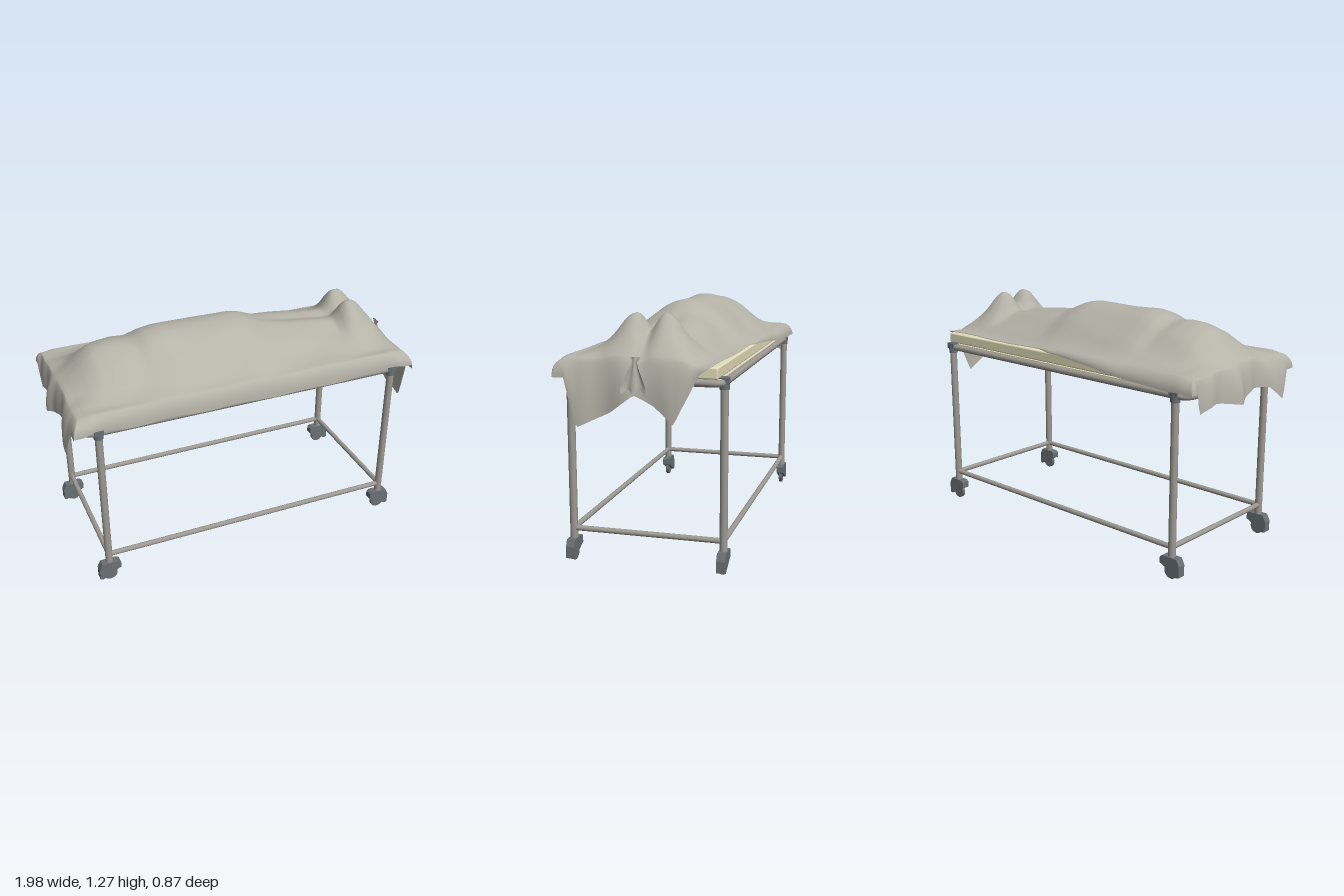
import * as THREE from 'three';
import { RoundedBoxGeometry } from 'three/addons/geometries/RoundedBoxGeometry.js';

const mat = (name, color, side = THREE.FrontSide) => {
  const m = new THREE.MeshStandardMaterial({ color, side });
  m.name = name;
  return m;
};

// Piecewise-linear lookup through [position, value] pairs
function along(pts, t) {
  if (t <= pts[0][0]) return pts[0][1];
  for (let i = 1; i < pts.length; i++) {
    const [a, va] = pts[i - 1], [b, vb] = pts[i];
    if (t <= b) return va + (vb - va) * (t - a) / (b - a);
  }
  return pts[pts.length - 1][1];
}
const bell = (d, s) => Math.exp(-(d * d) / (2 * s * s));
const { smoothstep, clamp } = THREE.MathUtils;

// Height and half-width of the covered body along its length
const RIDGE = [[-0.95, 1.055], [-0.9, 1.085], [-0.85, 1.125], [-0.8, 1.175], [-0.75, 1.215], [-0.68, 1.235],
  [-0.6, 1.24], [-0.52, 1.23], [-0.45, 1.26], [-0.38, 1.273], [-0.2, 1.268], [0.05, 1.272], [0.11, 1.26],
  [0.22, 1.215], [0.45, 1.188], [0.64, 1.165], [0.76, 1.165], [0.86, 1.12], [0.93, 1.06]];
const WIDTH = [[-0.95, 0.3], [-0.8, 0.34], [-0.65, 0.37], [-0.45, 0.41], [-0.3, 0.415], [0.1, 0.41], [0.3, 0.39], [0.6, 0.37], [0.95, 0.37]];
// Cloth edges: back edge, then the heights of the hems
const BACK_Z = [[-0.95, -0.39], [-0.4, -0.385], [0.05, -0.382], [0.12, -0.372], [0.95, -0.342]];
const BACK_DROP = [[-0.95, 0.07], [-0.8, 0.08], [-0.5, 0.062], [-0.2, 0.042], [0.05, 0.016], [0.15, 0.006], [0.95, 0.005]];
const FRONT_DROP = [[-0.95, 0.08], [-0.85, 0.075], [-0.7, 0.097], [0, 0.106], [0.6, 0.1], [0.85, 0.068], [0.95, 0.07]];
const FOOT_HEM = [[-0.342, 1.03], [-0.3, 1.0], [-0.18, 0.76], [-0.08, 0.84], [0.02, 0.89], [0.14, 0.8], [0.31, 0.72], [0.375, 0.96]];
const HEAD_HEM = [[-0.39, 0.98], [-0.365, 0.87], [-0.25, 0.905], [-0.06, 0.87], [0.08, 0.92], [0.2, 0.91], [0.31, 0.825], [0.375, 0.97]];

function clothHeight(x, z) {
  const base = 1.054 + 0.01 * smoothstep(z, -0.1, 0.35)
    - 0.016 * smoothstep(-z, 0.2, 0.34) * smoothstep(x, -0.1, 0.2)
    - 0.01 * smoothstep(Math.abs(x), 0.86, 0.92);
  const t = Math.min(1, Math.abs(z) / along(WIDTH, x));
  let y = base + Math.max(0, along(RIDGE, x) - base) * (1 - t * t) ** 2;
  // two upturned feet, with a hollow between the legs
  const d = x - 0.745;
  const toe = d < 0 ? Math.exp(-((d / 0.075) ** 4)) : bell(d, 0.08);
  const lobe = (e) => bell(e, e > 0 ? 0.073 : 0.054);
  y += 0.107 * toe * Math.max(lobe(z - 0.075), lobe(-0.09 - z));
  y -= 0.02 * bell(z + 0.005, 0.03) * smoothstep(x, 0.12, 0.4);
  // soft wrinkles
  const k = Math.sqrt(1 - t) * t;
  y += k * 0.01 * Math.sin(x * 13 + z * 21) + k * 0.006 * Math.sin(x * 7 - z * 38);
  return Math.max(y, 1.037);
}

// Grid over the bed top with hanging rows beyond each edge
function clothGeometry() {
  const NX = 90, NZ = 48, S = 8, pos = [], idx = [];
  const cols = NX + 2 * S, rows = NZ + 2 * S;
  const round = (a) => Math.sin(a * Math.PI / 2);
  for (let i = 0; i <= cols; i++) {
    const fx = clamp((i - S) / NX, 0, 1);
    const head = Math.max(0, S - i) / S, foot = Math.max(0, i - S - NX) / S;
    const cx = -0.925 + fx * 1.845, zb = along(BACK_Z, cx);
    for (let j = 0; j <= rows; j++) {
      const fz = clamp((j - S) / NZ, 0, 1);
      const back = Math.max(0, S - j) / S, front = Math.max(0, j - S - NZ) / S;
      const cz = zb + fz * (0.375 - zb), top = clothHeight(cx, cz);
      const drop = Math.max(
        head ** 1.4 * (top - along(HEAD_HEM, cz)), foot ** 1.4 * (top - along(FOOT_HEM, cz)),
        back ** 1.4 * along(BACK_DROP, cx), front ** 1.6 * (along(FRONT_DROP, cx) + 0.004 * Math.sin(cx * 17)));
      const headOut = 0.03 + 0.04 * (bell(cz + 0.06, 0.035) + bell(cz - 0.28, 0.05)) + 0.006 * Math.sin(cz * 40);
      const footOut = 0.042 + 0.01 * Math.sin(cz * 26) - 0.008 * bell(cz, 0.03);
      const frontOut = 0.04 + 0.02 * bell(Math.abs(cx) - 0.9, 0.05);
      const backOut = 0.045 * Math.min(1, along(BACK_DROP, cx) / 0.06);
      pos.push(cx - headOut * round(head) + footOut * round(foot), top - drop, cz + frontOut * round(front) - backOut * round(back));
      if (i < cols && j < rows) {
        const a = i * (rows + 1) + j, b = a + rows + 1;
        idx.push(a, a + 1, b, b, a + 1, b + 1);
      }
    }
  }
  const g = new THREE.BufferGeometry();
  g.setAttribute('position', new THREE.Float32BufferAttribute(pos, 3));
  g.setIndex(idx);
  g.computeVertexNormals();
  return g;
}

// Pinched, pleated end of the cloth below the feet
function gatherGeometry() {
  const g = new THREE.PlaneGeometry(1, 1, 8, 8), p = g.attributes.position;
  for (let i = 0; i < p.count; i++) {
    const u = p.getX(i), t = 0.5 - p.getY(i);
    const w = along([[0, 0.07], [0.15, 0.025], [0.85, 0.13], [1, 0.12]], t);
    const pleat = Math.cos(u * Math.PI * 4);
    p.setXYZ(i, 0.962 + 0.018 * t + 0.01 * pleat * (0.3 + t * 0.7), 1.075 - 0.165 * t - 0.012 * t * pleat, 0.012 - u * w);
  }
  g.computeVertexNormals();
  return g;
}

export function createModel() {
  const root = new THREE.Group();
  root.name = 'coveredTrolley';
  const cloth = mat('greyCloth', 0xb5b3a8, THREE.DoubleSide);
  const cream = mat('creamMattress', 0xe5dfbc);
  const steel = mat('steelTube', 0x9d9992);
  const dark = mat('darkFitting', 0x697074);

  const add = (name, geo, material, x = 0, y = 0, z = 0, parent = root) => {
    const m = new THREE.Mesh(geo, material);
    m.name = name;
    m.position.set(x, y, z);
    parent.add(m);
    return m;
  };
  const bar = (name, a, b, r) => {
    const A = new THREE.Vector3(...a), B = new THREE.Vector3(...b);
    const m = add(name, new THREE.CylinderGeometry(r, r, A.distanceTo(B), 16), steel);
    m.position.copy(A).add(B).multiplyScalar(0.5);
    m.quaternion.setFromUnitVectors(new THREE.Vector3(0, 1, 0), B.sub(A).normalize());
  };

  const X = [-0.83, 0.855], Z = [-0.4, 0.381];

  // Rounded top frame
  const frame = new THREE.CurvePath(), V = (x, z) => new THREE.Vector3(x, 0.955, z);
  const [x0, x1, z0, z1, c] = [-0.9, 0.905, Z[0], Z[1], 0.06];
  const corners = [[x0, z0, 0, 1, 1, 0], [x1, z0, -1, 0, 0, 1], [x1, z1, 0, -1, -1, 0], [x0, z1, 1, 0, 0, -1]];
  corners.forEach(([x, z, ax, az, bx, bz], i) => {
    frame.add(new THREE.QuadraticBezierCurve3(V(x + ax * c, z + az * c), V(x, z), V(x + bx * c, z + bz * c)));
    const [nx, nz, px, pz] = corners[(i + 1) % 4];
    frame.add(new THREE.LineCurve3(V(x + bx * c, z + bz * c), V(nx + px * c, nz + pz * c)));
  });
  add('topFrame', new THREE.TubeGeometry(frame, 240, 0.018, 12, true), steel);

  // Lower rails
  for (const z of Z) bar('lowerSideRail', [X[0], 0.17, z], [X[1], 0.17, z], 0.014);
  for (const x of X) bar('lowerEndRail', [x, 0.17, Z[0]], [x, 0.17, Z[1]], 0.014);

  // Caster housing outline, pointing outward
  const housing = new THREE.Shape([[-0.06, 0.11], [-0.045, 0.12], [0.045, 0.12], [0.062, 0.085], [0.062, 0.025],
    [0.045, 0.02], [-0.045, 0.07], [-0.06, 0.075]].map(([x, y]) => new THREE.Vector2(x, y)));
  const housingGeo = new THREE.ExtrudeGeometry(housing, { depth: 0.045, bevelEnabled: false }).translate(0, 0, -0.0225);
  const wheelGeo = new THREE.CylinderGeometry(0.04, 0.04, 0.018, 20).rotateX(Math.PI / 2);

  // Legs with sleeves and casters
  for (const x of X) for (const z of Z) {
    bar('leg', [x, 0.11, z], [x, 0.97, z], 0.02);
    add('cornerSleeve', new THREE.CylinderGeometry(0.025, 0.025, 0.045, 16), dark, x, 0.945, z);
    add('cornerClamp', new THREE.BoxGeometry(0.05, 0.032, 0.045), dark, x, 0.965, z);
    const caster = new THREE.Group();
    caster.name = 'caster';
    caster.position.set(x, 0, z);
    if (x < 0) caster.rotation.y = Math.PI;
    add('casterHousing', housingGeo, dark, 0, 0, 0, caster);
    add('casterWheel', wheelGeo, dark, 0, 0.04, 0, caster);
    root.add(caster);
  }

  // Deck and mattress
  add('deck', new THREE.BoxGeometry(1.78, 0.02, 0.76), cream, 0.002, 0.965, -0.01);
  add('mattress', new RoundedBoxGeometry(1.82, 0.058, 0.76, 2, 0.009), cream, 0, 1.003, 0);

  // Cloth over the body
  add('drapedCloth', clothGeometry(), cloth);
  add('gatheredClothEnd', gatherGeometry(), cloth);
  return root;
}
